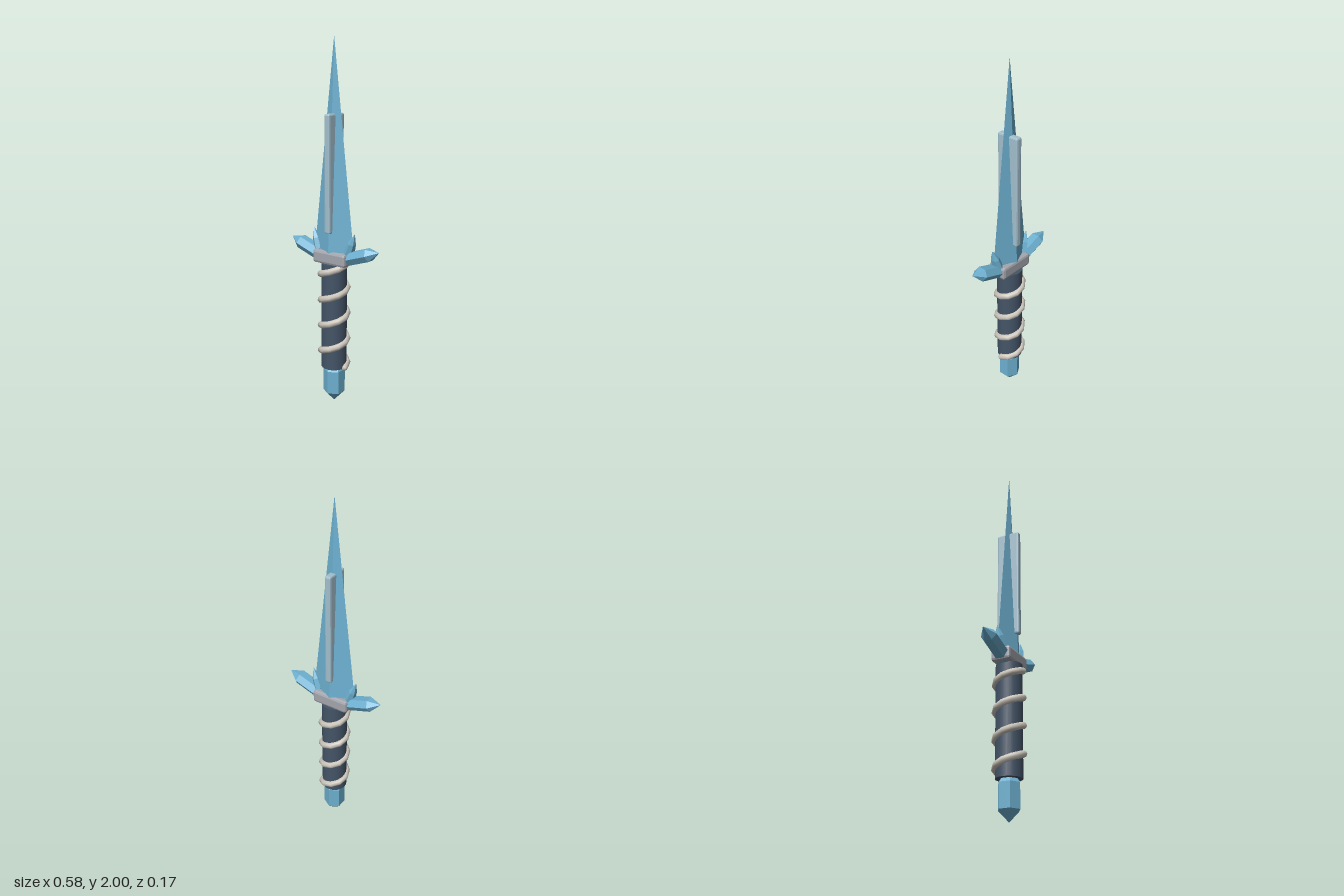
import * as THREE from 'three';
import { RoundedBoxGeometry } from 'three/addons/geometries/RoundedBoxGeometry.js';

const mat = (name, color, flat = true) => {
  const m = new THREE.MeshStandardMaterial({ color, flatShading: flat });
  m.name = name;
  return m;
};

// Faceted solid of revolution from [radius, y] pairs, bottom to top
const faceted = (pairs, sides) =>
  new THREE.LatheGeometry(pairs.map(([r, y]) => new THREE.Vector2(r, y)), sides);

// Spiral that climbs around the grip
class Spiral extends THREE.Curve {
  getPoint(t, target = new THREE.Vector3()) {
    const a = t * Math.PI * 8;
    return target.set(0.072 * Math.cos(a), 0.215 + 0.59 * t, -0.072 * Math.sin(a));
  }
}

export function createModel() {
  const model = new THREE.Group();
  const crystalBlue = mat('crystal blue', 0x6db0d0);
  const paleBlue = mat('pale steel blue', 0xa2bfcd);
  const steel = mat('steel grey', 0xa3a6ad);
  const slate = mat('dark slate', 0x445467, false);
  const cord = mat('cream cord', 0xcac4ba, false);

  const add = (name, geometry, material, x = 0, y = 0, z = 0) => {
    const mesh = new THREE.Mesh(geometry, material);
    mesh.name = name;
    mesh.position.set(x, y, z);
    model.add(mesh);
    return mesh;
  };

  // Blade with a diamond cross-section and a raised centre rib
  const blade = add('blade', faceted([[0, 0.84], [1, 0.84], [0, 2]], 4), crystalBlue);
  blade.scale.set(0.134, 1, 0.055);
  add('bladeRib', new RoundedBoxGeometry(0.036, 0.63, 0.13, 1, 0.009), paleBlue, 0, 1.295);

  // Guard block
  add('guardBlock', new RoundedBoxGeometry(0.214, 0.074, 0.11, 1, 0.014), steel, 0, 0.843);

  // Mirrored crystals: long ones form the crossguard, short ones flank the blade
  const longCrystal = faceted([[0, 0], [0.045, 0], [0.045, 0.235], [0, 0.302]], 6);
  const shortCrystal = faceted([[0, 0], [0.036, 0.03], [0.028, 0.09], [0, 0.15]], 6);
  for (const side of [-1, 1]) {
    const arm = add(side > 0 ? 'leftGuardCrystal' : 'rightGuardCrystal',
      longCrystal, crystalBlue, side * 0.005, 0.815);
    arm.rotation.z = -side * 1.24;
    arm.scale.x = 0.85;
    const shard = add(side > 0 ? 'leftShard' : 'rightShard',
      shortCrystal, crystalBlue, side * 0.088, 0.847);
    shard.rotation.z = -side * 0.33;
    shard.scale.x = 0.75;
  }

  // Grip
  add('grip', new THREE.CylinderGeometry(0.07, 0.07, 0.6, 24), slate, 0, 0.51);

  // Cord wound around the grip, closed at both ends
  const spiral = new Spiral();
  add('gripCord', new THREE.TubeGeometry(spiral, 40, 0.019, 8), cord);
  for (const t of [0, 1]) {
    const end = add('cordEnd', new THREE.SphereGeometry(0.018, 8, 6), cord);
    end.position.copy(spiral.getPoint(t));
  }

  // Pommel crystal
  add('pommel', faceted([[0, 0], [0.06, 0.06], [0.06, 0.19], [0.045, 0.212], [0, 0.212]], 6), crystalBlue);

  return model;
}
